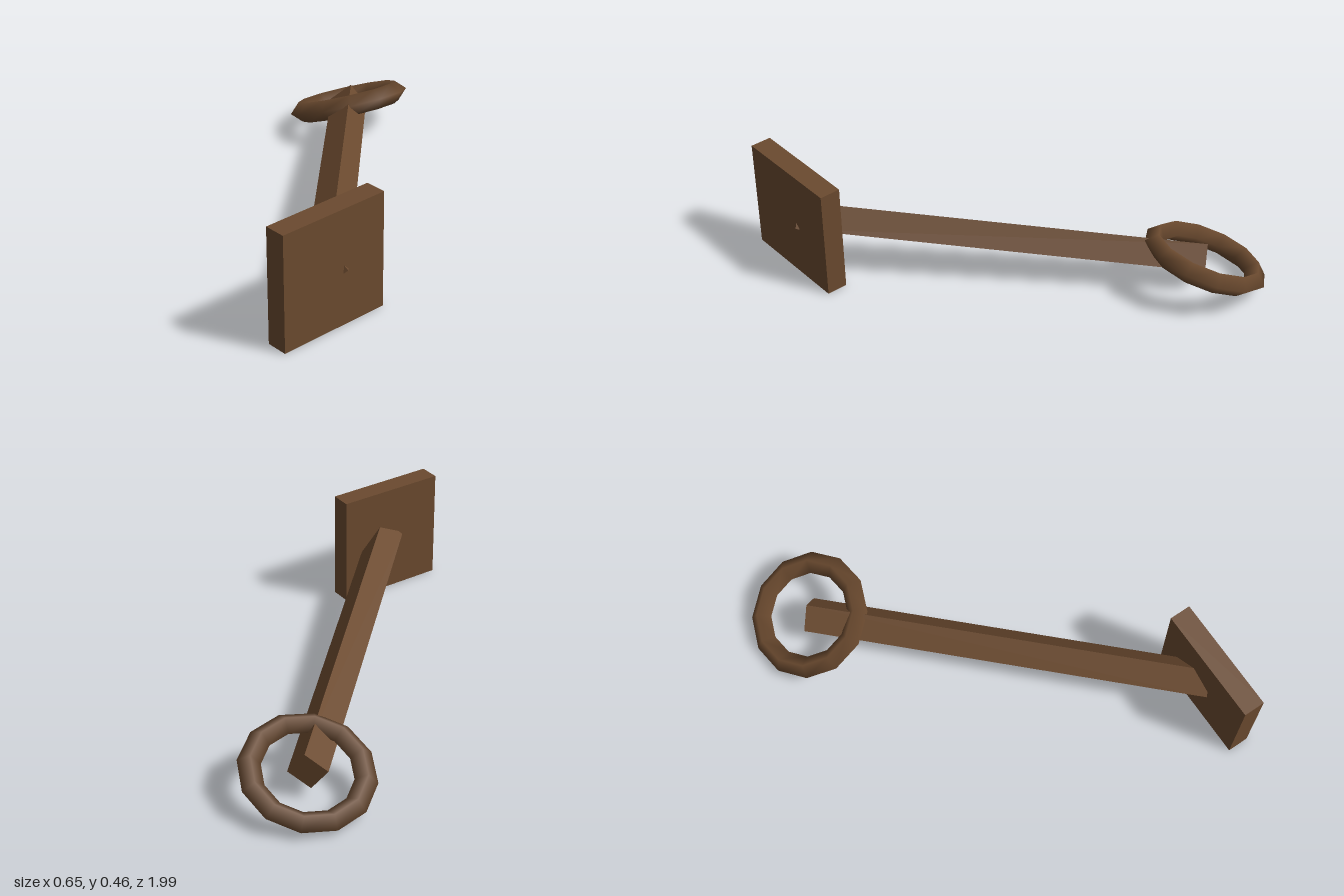
import * as THREE from 'three';

export function createModel() {
  const group = new THREE.Group();
  const wood = new THREE.MeshStandardMaterial({ color: 0x6b4a2f });
  wood.name = 'brown wood';

  const near = new THREE.Vector3(-0.122, 0.24, 0.82);   // shaft end inside the plate
  const far = new THREE.Vector3(0.075, 0.133, -0.757);  // shaft end inside the ring

  const add = (name, geometry) => {
    const mesh = new THREE.Mesh(geometry, wood);
    mesh.name = name;
    group.add(mesh);
    return mesh;
  };

  // Square plate, standing upright and turned about the vertical
  const plate = add('plate', new THREE.BoxGeometry(0.46, 0.46, 0.085));
  plate.position.copy(near);
  plate.rotation.y = 0.67;

  // Square shaft, rolled onto its edge
  const shaft = add('shaft', new THREE.BoxGeometry(0.107, 0.107, near.distanceTo(far)));
  shaft.position.lerpVectors(near, far, 0.5);
  shaft.lookAt(near);
  shaft.rotateZ(THREE.MathUtils.degToRad(37.4));

  // Tilted ring with a diamond section and smooth normals
  const ring = add('ring', new THREE.TorusGeometry(0.211, 0.043, 4, 12));
  const normal = new THREE.Vector3(-0.21, 1, -0.365).normalize();
  const side = new THREE.Vector3(0.25, 0.0478, -0.013).projectOnPlane(normal).normalize();
  const across = new THREE.Vector3().crossVectors(normal, side);
  ring.quaternion.setFromRotationMatrix(new THREE.Matrix4().makeBasis(side, across, normal));
  ring.position.copy(far);

  return group;
}
